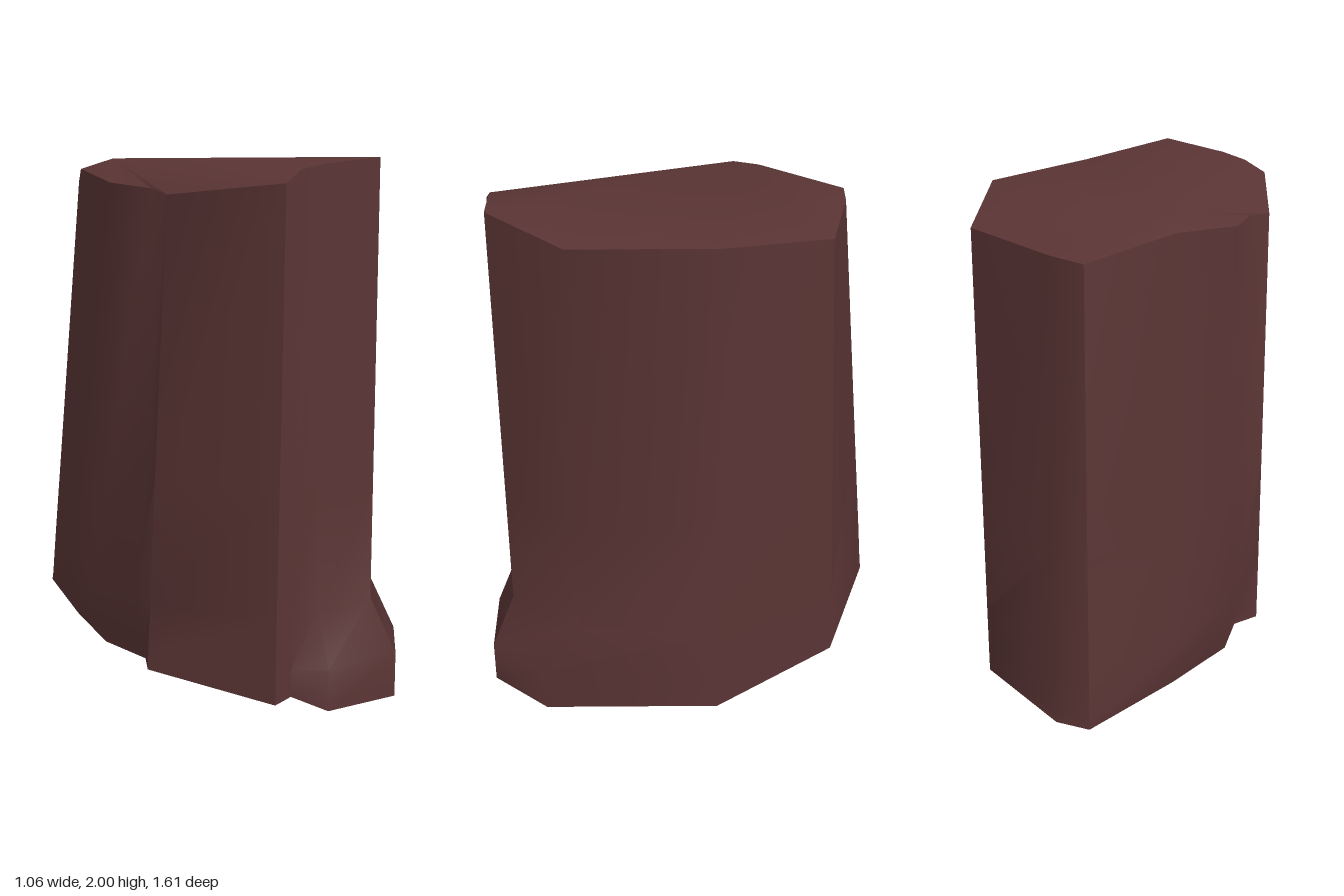
import * as THREE from 'three';
import { toCreasedNormals } from 'three/addons/utils/BufferGeometryUtils.js';

// How far each ring has moved from the foot outline to the top outline
const FRONT = [0, 0, 1, 1, 1];           // toe that steps back to the shaft
const RIGHT = [0.5, 0.4, 0, 0.75, 1];    // bulge low on the side
const PLAIN = [0, 0.03, 0.13, 0.4, 1];   // straight taper
const LEVELS = [null, 0.18, 0.38, 0.85, null];

// Vertical edges in order round the column: foot xyz, top xyz, taper
const EDGES = [
  [[0.26, 0.01, 0.80], [0.21, 2.00, 0.71], FRONT],
  [[0.45, 0.00, 0.59], [0.44, 1.94, 0.44], FRONT],
  [[0.53, 0.025, -0.09], [0.53, 1.96, -0.09], PLAIN],
  [[0.28, 0.09, -0.59], [0.33, 1.91, -0.50], PLAIN],
  [[-0.19, 0.165, -0.81], [-0.08, 1.91, -0.62], PLAIN],
  [[-0.32, 0.165, -0.785], [-0.23, 1.91, -0.64], PLAIN],
  [[-0.47, 0.15, -0.38], [-0.40, 1.96, -0.33], RIGHT],
  [[-0.53, 0.14, -0.06], [-0.47, 1.91, 0.00], RIGHT],
  [[-0.47, 0.12, 0.14], [-0.42, 1.89, 0.20], RIGHT],
  [[-0.50, 0.12, 0.27], [-0.44, 1.87, 0.33], PLAIN],
  [[-0.25, 0.07, 0.72], [-0.23, 1.91, 0.73], PLAIN],
  [[-0.17, 0.08, 0.71], [-0.15, 1.955, 0.71], PLAIN],
  [[-0.06, 0.025, 0.79], [-0.05, 1.975, 0.71], FRONT],
];

function columnGeometry() {
  const n = EDGES.length;
  const pos = [];
  const index = [];

  // Rings from the foot to the top
  LEVELS.forEach((level, j) => {
    for (const [foot, top, taper] of EDGES) {
      const t = taper[j];
      const y = j === 0 ? foot[1] : level === null ? top[1] : Math.max(level, foot[1] + 0.03);
      pos.push(
        THREE.MathUtils.lerp(foot[0], top[0], t), y,
        THREE.MathUtils.lerp(foot[2], top[2], t));
    }
  });

  // Side faces
  for (let j = 0; j < LEVELS.length - 1; j++) {
    for (let i = 0; i < n; i++) {
      const k = (i + 1) % n;
      const a = j * n + i, b = j * n + k, c = b + n, d = a + n;
      index.push(a, b, c, a, c, d);
    }
  }

  // Uneven top with an off-centre peak, and a sloping underside
  const peak = LEVELS.length * n;
  pos.push(-0.32, 2.0, -0.22, 0, 0.06, 0);
  const rim = (LEVELS.length - 1) * n;
  for (let i = 0; i < n; i++) {
    const k = (i + 1) % n;
    index.push(peak, rim + i, rim + k, peak + 1, k, i);
  }

  const geometry = new THREE.BufferGeometry();
  geometry.setAttribute('position', new THREE.Float32BufferAttribute(pos, 3));
  geometry.setIndex(index);
  return toCreasedNormals(geometry, 0.72);
}

export function createModel() {
  const group = new THREE.Group();
  group.name = 'rockColumn';
  const stone = new THREE.MeshStandardMaterial({ color: 0x5a3434 });
  stone.name = 'reddish brown stone';
  const column = new THREE.Mesh(columnGeometry(), stone);
  column.name = 'stoneBlock';
  group.add(column);
  return group;
}
